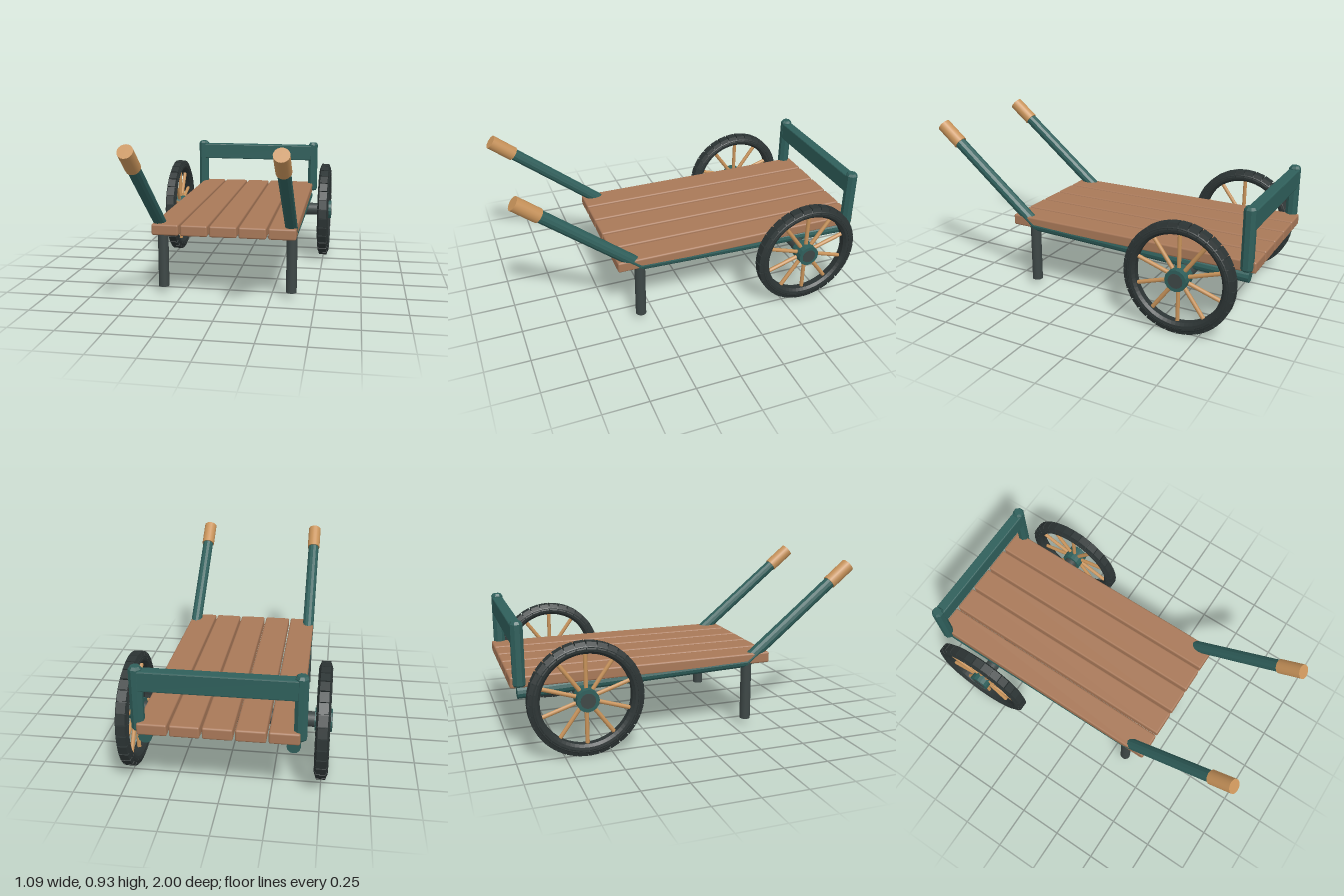
import * as THREE from 'three';
import { mergeGeometries } from 'three/addons/utils/BufferGeometryUtils.js';
import { RoundedBoxGeometry } from 'three/addons/geometries/RoundedBoxGeometry.js';

function material(name, color, flatShading = false) {
  const m = new THREE.MeshStandardMaterial({ color, flatShading });
  m.name = name;
  return m;
}

export function createModel() {
  const cart = new THREE.Group();
  cart.name = 'handcart';

  const plankWood = material('plank wood', 0xa87858);
  const paleWood = material('pale wood', 0xc8935a);
  const teal = material('teal paint', 0x2f5f5b, true);
  const iron = material('dark iron', 0x3d4746);
  const rubber = material('tyre', 0x2c3434, true);

  const V = (x, y, z) => new THREE.Vector3(x, y, z);
  const add = (parent, name, geometry, mat) => {
    const mesh = new THREE.Mesh(geometry, mat);
    mesh.name = name;
    parent.add(mesh);
    return mesh;
  };

  // Cylinder running between two points
  const rod = (parent, name, a, b, radius, mat, sides = 12) => {
    const d = b.clone().sub(a);
    const mesh = add(parent, name, new THREE.CylinderGeometry(radius, radius, d.length(), sides), mat);
    mesh.position.copy(a).add(b).multiplyScalar(0.5);
    mesh.quaternion.setFromUnitVectors(V(0, 1, 0), d.normalize());
    return mesh;
  };

  // Deck of five planks
  for (let i = 0; i < 5; i++) {
    const plank = add(cart, 'plank', new RoundedBoxGeometry(0.15, 0.062, 1.465, 2, 0.01), plankWood);
    plank.position.set((i - 2) * 0.161, 0.4, -0.267);
  }

  // Tail board between the rear posts
  const board = add(cart, 'tailBoard', new RoundedBoxGeometry(0.8, 0.105, 0.06, 1, 0.006), teal);
  board.position.set(0, 0.648, -0.953);

  // Axle
  const axleY = 0.31, axleZ = -0.63;
  rod(cart, 'axle', V(-0.546, axleY, axleZ), V(0.546, axleY, axleZ), 0.04, iron, 24);

  // Tyre profile: radius, half width
  const tyreProfile = [
    [0.242, -0.018], [0.256, -0.031], [0.28, -0.034], [0.293, -0.025],
    [0.293, 0.025], [0.28, 0.034], [0.256, 0.031], [0.242, 0.018], [0.242, -0.018],
  ].map(([r, w]) => new THREE.Vector2(r, w));
  const tyre = new THREE.LatheGeometry(tyreProfile, 64).rotateZ(Math.PI / 2);

  // Tread blocks, narrower at the outside
  const treadCount = 32, blocks = [];
  for (let i = 0; i < treadCount; i++) {
    const block = new THREE.BoxGeometry(0.072, 0.036, 0.053);
    const p = block.attributes.position;
    for (let j = 0; j < p.count; j++) {
      if (p.getY(j) > 0) p.setX(j, p.getX(j) * 0.66);
      else p.setZ(j, p.getZ(j) * 0.9);
    }
    block.translate(0, 0.287, 0).rotateX(((i + 0.5) / treadCount) * Math.PI * 2);
    blocks.push(block);
  }
  const tread = mergeGeometries(blocks);

  for (const side of [-1, 1]) {
    const x = side * 0.365;

    // Wheel with ten spokes
    const wheel = new THREE.Group();
    wheel.name = side > 0 ? 'leftWheel' : 'rightWheel';
    wheel.position.set(side * 0.499, axleY, axleZ);
    cart.add(wheel);
    add(wheel, 'tyre', tyre, rubber);
    add(wheel, 'tread', tread, rubber);
    rod(wheel, 'hub', V(-0.045, 0, 0), V(0.045, 0, 0), 0.06, teal, 16);
    for (let i = 0; i < 10; i++) {
      const a = (i / 10) * Math.PI * 2;
      const dir = V(0, Math.cos(a), Math.sin(a));
      rod(wheel, 'spoke', dir.clone().multiplyScalar(0.05), dir.clone().multiplyScalar(0.25), 0.0115, paleWood, 8);
    }

    // Frame rail, handle and grip
    const bend = V(x, 0.38, 0.335);
    const tip = V(x, 0.9, 0.973);
    rod(cart, 'frameRail', V(x, 0.338, -0.962), bend, 0.034, teal);
    rod(cart, 'handle', bend, bend.clone().lerp(tip, 0.9), 0.034, teal);
    rod(cart, 'grip', bend.clone().lerp(tip, 0.815), tip, 0.04, paleWood, 20);

    // Front leg
    rod(cart, 'leg', V(x, 0.04, 0.335), V(x, 0.375, 0.335), 0.03, iron, 16);

    // Rear post with a chamfered top
    const postProfile = [[0, 0.38], [0.028, 0.38], [0.034, 0.39], [0.034, 0.705], [0.024, 0.719], [0, 0.719]]
      .map(([r, y]) => new THREE.Vector2(r, y));
    const post = add(cart, 'rearPost', new THREE.LatheGeometry(postProfile, 8, Math.PI / 8), teal);
    post.position.set(side * 0.396, 0, -0.953);
  }

  return cart;
}
